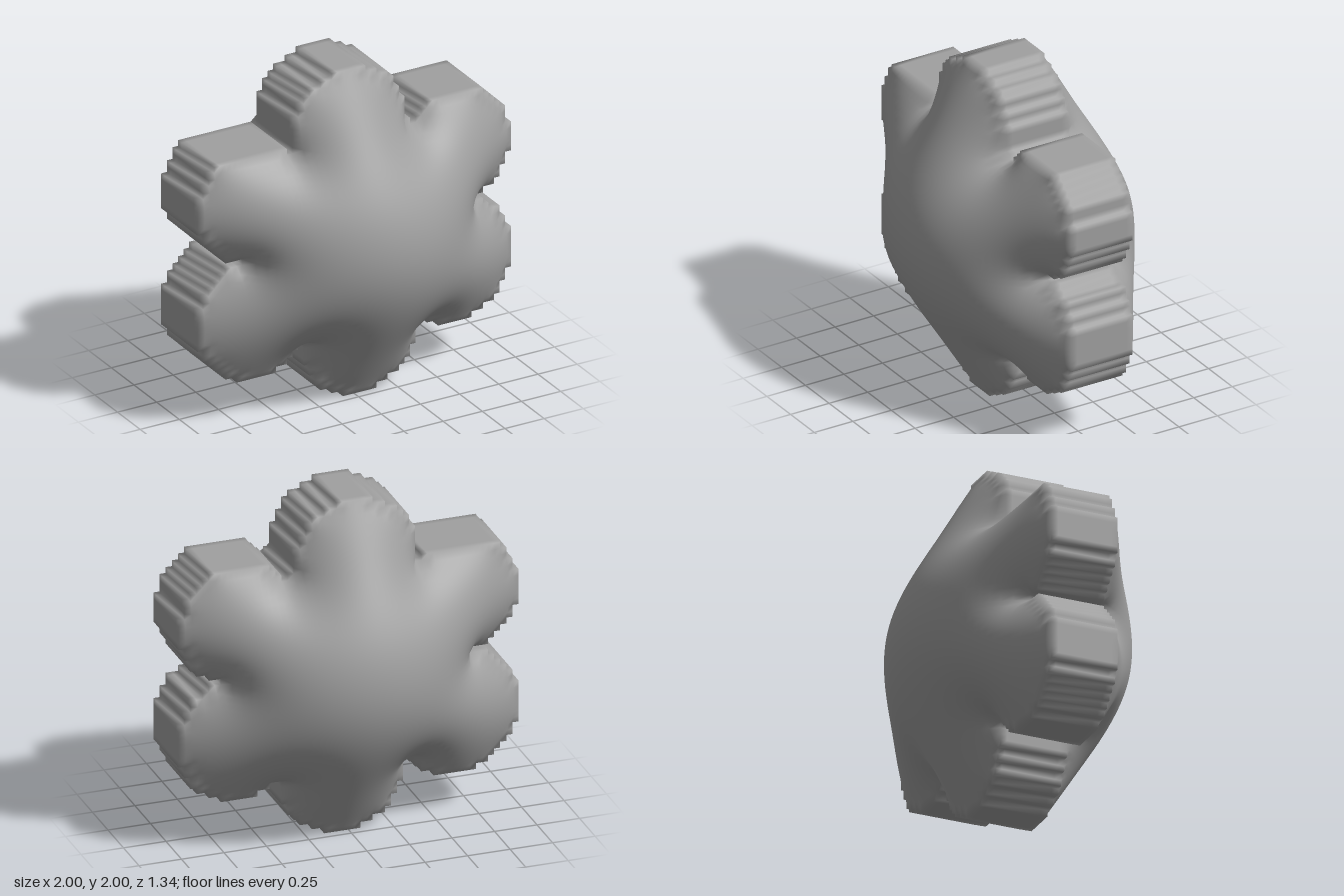
import * as THREE from 'three';

const CELLS = 56, STEP = 2 / CELLS, N = CELLS + 1;
const RIM = 0.2, PEAK = 0.67;

// Six rounded petals: centre x, centre y, radius, flat upper limit
const petals = [
  [-0.04, 1.63, 0.37, 2],
  [0.64, 1.35, 0.355, 1.69],
  [0.64, 0.66, 0.37, 2],
  [0.04, 0.365, 0.365, 2],
  [-0.63, 0.62, 0.37, 2],
  [-0.65, 1.33, 0.35, 1.625],
];
// Notches between the petals, the corners of the solid core
const notches = [[0.35, 1.59], [0.66, 1.01], [0.4, 0.34], [-0.31, 0.39], [-0.73, 0.98], [-0.41, 1.59]];

function inCore(x, y) {
  return notches.every(([ax, ay], k) => {
    const [bx, by] = notches[(k + 1) % notches.length];
    return (bx - ax) * (y - ay) - (by - ay) * (x - ax) <= 0;
  });
}

// Stepped flower outline, one test per grid cell
function buildMask() {
  const mask = [];
  for (let j = 0; j < CELLS; j++) {
    for (let i = 0; i < CELLS; i++) {
      const x = -1 + (i + 0.5) * STEP, y = (j + 0.5) * STEP;
      mask.push(inCore(x, y) ||
        petals.some(([px, py, r, top]) => y < top && Math.hypot(x - px, y - py) < r));
    }
  }
  return (i, j) => i >= 0 && j >= 0 && i < CELLS && j < CELLS && mask[j * CELLS + i];
}

// Inflate the outline like a membrane held along its edge
function inflate(filled) {
  const height = new Float64Array(N * N), inner = [];
  for (let j = 1; j < CELLS; j++) {
    for (let i = 1; i < CELLS; i++) {
      if (filled(i, j) && filled(i - 1, j) && filled(i, j - 1) && filled(i - 1, j - 1)) inner.push(j * N + i);
    }
  }
  for (let pass = 0; pass < 500; pass++) {
    for (const k of inner) {
      const target = (height[k - 1] + height[k + 1] + height[k - N] + height[k + N] + STEP * STEP) / 4;
      height[k] += 1.85 * (target - height[k]);
    }
  }
  const top = height.reduce((a, b) => Math.max(a, b), 0);
  return height.map((h) => RIM + (h / top) * (PEAK - RIM));
}

function flowerGeometry() {
  const filled = buildMask(), height = inflate(filled);
  const positions = [], index = [], ids = new Map();

  // Layers run from front surface, through two rim rows, to back surface
  const vertex = ([i, j], layer) => {
    const key = layer * N * N + j * N + i;
    if (!ids.has(key)) {
      const h = height[j * N + i];
      ids.set(key, positions.length / 3);
      positions.push(-1 + i * STEP, j * STEP, [h, RIM - 0.04, 0.04 - RIM, -h][layer]);
    }
    return ids.get(key);
  };
  const quad = (a, b, c, d) => index.push(a, b, c, a, c, d);

  for (let j = 0; j < CELLS; j++) {
    for (let i = 0; i < CELLS; i++) {
      if (!filled(i, j)) continue;
      const c = [[i, j], [i + 1, j], [i + 1, j + 1], [i, j + 1]];
      quad(...c.map((p) => vertex(p, 0)));
      quad(...c.map((p) => vertex(p, 3)).reverse());
      // Rim walls wherever the neighbouring cell is empty
      [[0, -1], [1, 0], [0, 1], [-1, 0]].forEach(([di, dj], k) => {
        if (filled(i + di, j + dj)) return;
        const a = c[k], b = c[(k + 1) % 4];
        for (let l = 0; l < 3; l++) quad(vertex(a, l), vertex(a, l + 1), vertex(b, l + 1), vertex(b, l));
      });
    }
  }
  const geometry = new THREE.BufferGeometry();
  geometry.setAttribute('position', new THREE.Float32BufferAttribute(positions, 3));
  geometry.setIndex(index);
  geometry.computeVertexNormals();
  return geometry;
}

export function createModel() {
  const group = new THREE.Group();
  group.name = 'puffyFlower';
  const grey = new THREE.MeshStandardMaterial({ color: 0xa0a0a0 });
  grey.name = 'grey';
  const flower = new THREE.Mesh(flowerGeometry(), grey);
  flower.name = 'flowerBody';
  group.add(flower);
  return group;
}
